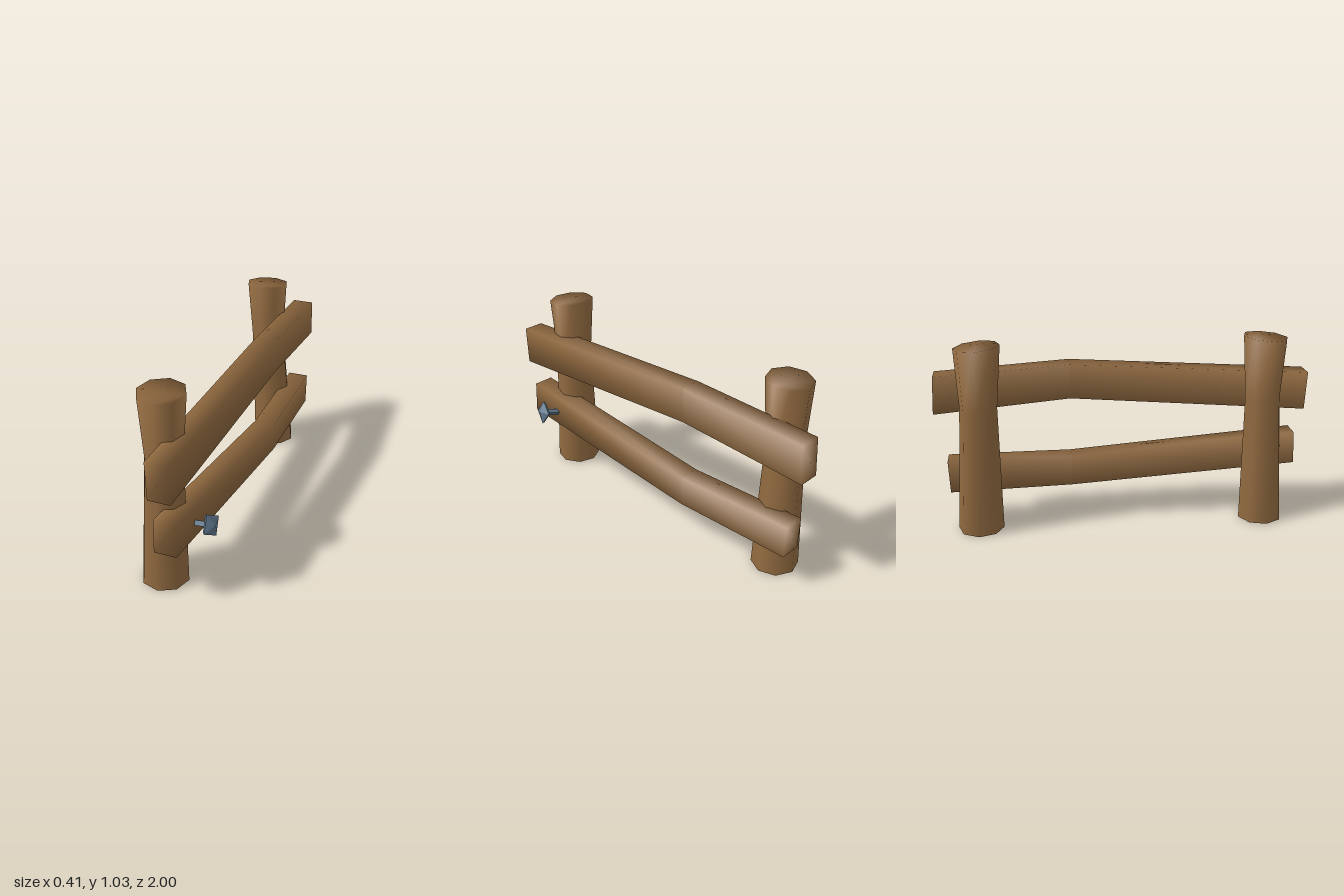
import * as THREE from 'three';

const wood = new THREE.MeshStandardMaterial({ color: 0x916a40, side: THREE.DoubleSide });
wood.name = 'wood';
const iron = new THREE.MeshStandardMaterial({ color: 0x5c7488 });
iron.name = 'iron';

// Skin a row of rings that share smooth normals; rings run counterclockwise seen from the last one
function loft(rings, capStart, capEnd) {
  const n = rings[0].length, index = [];
  for (let r = 0; r < rings.length - 1; r++) {
    for (let i = 0; i < n; i++) {
      const a = r * n + i, b = r * n + (i + 1) % n;
      index.push(a, b, b + n, a, b + n, a + n);
    }
  }
  const last = (rings.length - 1) * n;
  for (let i = 1; i < n - 1; i++) {
    if (capStart) index.push(0, i + 1, i);
    if (capEnd) index.push(last, last + i, last + i + 1);
  }
  const g = new THREE.BufferGeometry();
  g.setAttribute('position', new THREE.Float32BufferAttribute(rings.flat(2), 3));
  g.setIndex(index);
  g.computeVertexNormals();
  return g;
}

// Eight-sided post with a waist and slanted top; levels are [x, y, z, radius, slope along z]
function post(name, turn, levels) {
  const rings = levels.map(([x, y, z, radius, slope]) =>
    Array.from({ length: 8 }, (_, i) => {
      const a = turn + (i / 8) * Math.PI * 2;
      const dz = -Math.sin(a) * radius;
      return [x + Math.cos(a) * radius, y + dz * slope, z + dz];
    }));
  const mesh = new THREE.Mesh(loft(rings, false, true), wood);
  mesh.name = name;
  return mesh;
}

// Bent plank; stations are [x of inner side, top y, top z, bottom y, bottom z]
function rail(name, stations) {
  const width = 0.115;
  const rings = stations.map(([x, topY, topZ, lowY, lowZ]) => [
    [x, lowY, lowZ], [x, topY, topZ], [x + width, topY, topZ], [x + width, lowY, lowZ],
  ]);
  const mesh = new THREE.Mesh(loft(rings, true, true), wood);
  mesh.name = name;
  return mesh;
}

// Four-sided nail with a pointed head, tilted out of the lower rail
function nail() {
  const profile = [[0, -0.12], [0.017, -0.12], [0.019, -0.012], [0.058, -0.009], [0.066, 0.004], [0, 0.025]];
  const g = new THREE.LatheGeometry(profile.map(([x, y]) => new THREE.Vector2(x, y)), 4).toNonIndexed();
  g.computeVertexNormals();
  const mesh = new THREE.Mesh(g, iron);
  mesh.name = 'nail';
  mesh.position.set(0.18, 0.378, 0.767);
  mesh.quaternion.setFromUnitVectors(
    new THREE.Vector3(0, 1, 0), new THREE.Vector3(0.94, 0.24, 0.22).normalize());
  return mesh;
}

export function createModel() {
  const group = new THREE.Group();
  group.name = 'fence';
  group.add(
    post('frontPost', 0.09, [
      [-0.07, 0, 0.76, 0.122, 0], [-0.06, 0.7, 0.745, 0.097, 0], [-0.06, 1.025, 0.745, 0.12, -0.08],
    ]),
    post('backPost', -0.09, [
      [-0.04, 0, -0.78, 0.122, 0], [-0.083, 0.7, -0.76, 0.097, 0], [-0.09, 1.025, -0.753, 0.119, 0.08],
    ]),
    rail('upperRail', [
      [-0.03, 0.81, 1.0, 0.605, 0.99], [0.015, 0.885, -0.28, 0.7, -0.28], [0.002, 0.845, -0.99, 0.643, -1.0],
    ]),
    rail('lowerRail', [
      [-0.03, 0.47, 0.943, 0.292, 0.952], [0.015, 0.365, -0.28, 0.203, -0.28], [0.002, 0.372, -0.943, 0.196, -0.936],
    ]),
    nail(),
  );
  return group;
}
